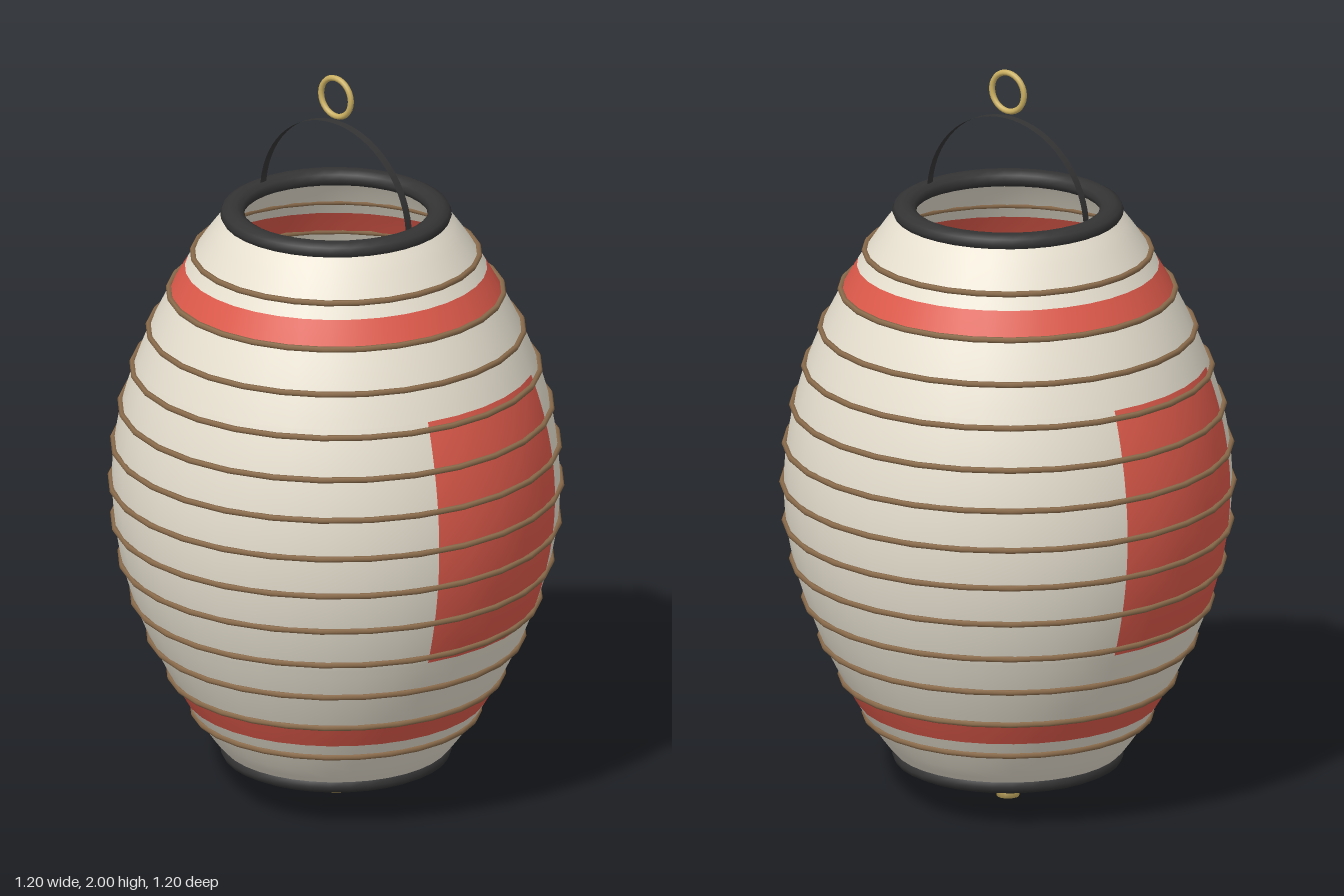
import * as THREE from 'three';

const mat = (name, color, side = THREE.FrontSide) => {
  const m = new THREE.MeshStandardMaterial({ color, side });
  m.name = name;
  return m;
};

export function createModel() {
  const paper = mat('paper', 0xe8e1d1, THREE.DoubleSide);
  const red = mat('red paint', 0xde5a4b, THREE.DoubleSide);
  const black = mat('black lacquer', 0x343434, THREE.DoubleSide);
  const bamboo = mat('bamboo', 0x8b6c4c);
  const brass = mat('brass', 0xcbb062);

  const model = new THREE.Group();
  model.name = 'paperLantern';
  const add = (name, geometry, material, parent = model) => {
    const mesh = new THREE.Mesh(geometry, material);
    mesh.name = name;
    parent.add(mesh);
    return mesh;
  };

  // Barrel outline of the paper shade
  const BOTTOM = 0.125, TOP = 1.61;
  const radiusAt = (y) => {
    const t = (y - BOTTOM) / (TOP - BOTTOM);
    return 0.292 + 0.296 * Math.pow(Math.max(0, Math.sin(Math.PI * t)), 0.87);
  };

  // Piece of the shade between two heights and two angles (degrees from the front)
  const shade = new THREE.Group();
  shade.name = 'shade';
  model.add(shade);
  const piece = (name, material, y0, y1, a0 = 0, a1 = 360) => {
    const n = Math.max(3, Math.ceil((y1 - y0) / 0.027));
    const points = [];
    for (let i = 0; i <= n; i++) {
      const y = y0 + ((y1 - y0) * i) / n;
      points.push(new THREE.Vector2(radiusAt(y), y));
    }
    const rad = THREE.MathUtils.degToRad;
    const geometry = new THREE.LatheGeometry(points, Math.round((a1 - a0) / 10), rad(a0), rad(a1 - a0));
    add(name, geometry, material, shade);
  };
  piece('lowerPaper', paper, BOTTOM, 0.27);
  piece('lowerBand', red, 0.27, 0.335);
  piece('lowerMiddlePaper', paper, 0.335, 0.53);
  piece('upperMiddlePaper', paper, 1.205, 1.4);
  piece('upperBand', red, 1.4, 1.465);
  piece('upperPaper', paper, 1.465, TOP);
  // Middle zone: a red panel on the front and one on the back
  for (const [side, turn] of [['front', 0], ['back', 180]]) {
    piece(side + 'Panel', red, 0.53, 1.205, turn - 20, turn + 30);
    piece(side + 'MiddlePaper', paper, 0.53, 1.205, turn + 30, turn + 160);
  }

  // Bamboo hoops
  const hoops = new THREE.Group();
  hoops.name = 'hoops';
  model.add(hoops);
  for (let i = 1; i < 14; i++) {
    const y = BOTTOM + ((TOP - BOTTOM) * i) / 14;
    const hoop = add('hoop', new THREE.TorusGeometry(radiusAt(y) + 0.004, 0.008, 6, 28), bamboo, hoops);
    hoop.rotation.x = Math.PI / 2;
    hoop.position.y = y;
  }

  // Rounded rims, slightly flattened
  for (const [name, y] of [['topRim', 1.615], ['bottomRim', 0.119]]) {
    const rim = add(name, new THREE.TorusGeometry(0.272, 0.032, 10, 36), black);
    rim.rotation.x = Math.PI / 2;
    rim.scale.z = 0.72;
    rim.position.y = y;
  }

  // Tapered base plate and brass eyelet below
  const base = add('basePlate', new THREE.CylinderGeometry(0.235, 0.07, 0.083, 36), black);
  base.position.y = 0.0775;
  const eyelet = [[0.01, 0.036], [0.01, 0], [0.03, 0], [0.03, 0.03], [0.01, 0.036]];
  add('eyelet', new THREE.LatheGeometry(eyelet.map((p) => new THREE.Vector2(...p)), 16), brass);

  // Thin ribbon handle arching from front to back
  const handle = add('handle', new THREE.CylinderGeometry(0.26, 0.26, 0.023, 32, 1, true, 0, Math.PI), black);
  handle.rotation.z = Math.PI / 2;
  handle.position.y = 1.61;

  // Hanging ring
  const ring = add('hangingRing', new THREE.TorusGeometry(0.053, 0.008, 8, 28), brass);
  ring.rotation.y = Math.PI / 2;
  ring.position.y = 1.939;

  return model;
}
